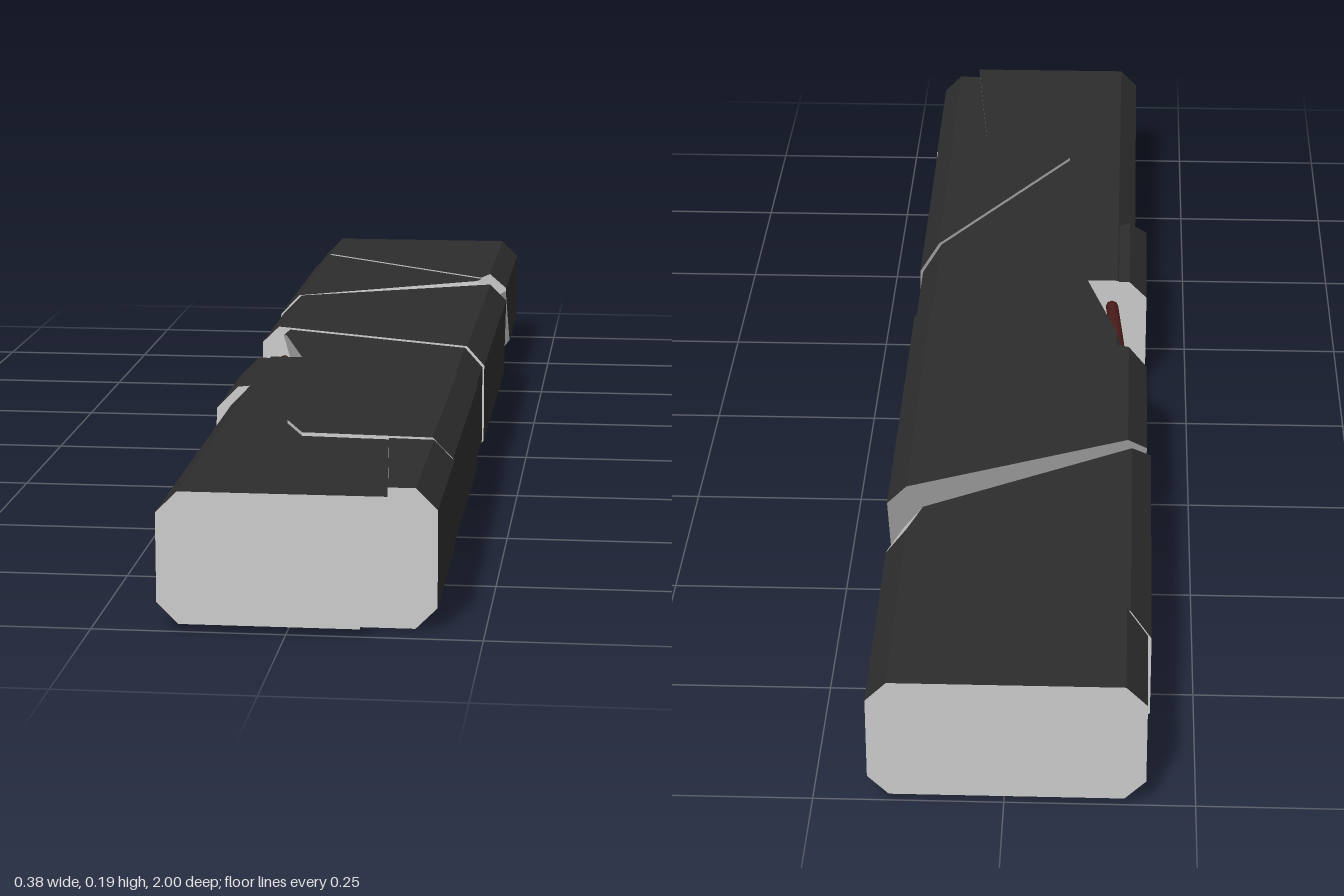
import * as THREE from 'three';

const dark = new THREE.MeshStandardMaterial({ color: 0x2d2d2d, flatShading: true });
const grey = new THREE.MeshStandardMaterial({ color: 0xcccccc, flatShading: true });
const rust = new THREE.MeshStandardMaterial({ color: 0x4a1c18 });
const TOP = 0.19;

// Octagonal beam sides running along z, as quads
function beamSides(x0, x1, y0, y1, c) {
  const ring = [
    [x0 + c, y0], [x1 - c, y0], [x1, y0 + c], [x1, y1 - c],
    [x1 - c, y1], [x0 + c, y1], [x0, y1 - c], [x0, y0 + c],
  ];
  return ring.map(([x, y], i) => {
    const [u, v] = ring[(i + 1) % 8];
    return { cut: false, pts: [[x, y, -3], [u, v, -3], [u, v, 3], [x, y, 3]].map(p => new THREE.Vector3(...p)) };
  });
}

// Cutting plane through a line (ax,az)-(bx,bz) drawn on the top face.
// Left-to-right keeps the front part; right-to-left keeps the back part.
// A positive tilt lets the kept part reach further out at the bottom.
function plane([ax, az, bx, bz, tilt = 0]) {
  const n = new THREE.Vector3(bz - az, 0, ax - bx).normalize();
  n.y = tilt;
  n.normalize();
  return new THREE.Plane().setFromNormalAndCoplanarPoint(n, new THREE.Vector3(ax, TOP, az));
}

// Clip a convex solid and close the opening with a fracture face
function clip(faces, pl) {
  const out = [], rim = [];
  for (const f of faces) {
    const pts = [];
    f.pts.forEach((p, i) => {
      const q = f.pts[(i + 1) % f.pts.length];
      const dp = pl.distanceToPoint(p), dq = pl.distanceToPoint(q);
      if (dp <= 0) pts.push(p);
      if ((dp <= 0) !== (dq <= 0)) {
        const m = p.clone().lerp(q, dp / (dp - dq));
        pts.push(m);
        rim.push(m);
      }
    });
    if (pts.length > 2) out.push({ cut: f.cut, pts });
  }
  if (rim.length > 2) {
    const c = centre(rim);
    const u = rim[0].clone().sub(c).normalize(), v = pl.normal.clone().cross(u);
    const angle = p => Math.atan2(p.clone().sub(c).dot(v), p.clone().sub(c).dot(u));
    out.push({ cut: true, pts: rim.sort((a, b) => angle(a) - angle(b)) });
  }
  return out;
}

function centre(pts) {
  return pts.reduce((s, p) => s.add(p), new THREE.Vector3()).divideScalar(pts.length);
}

// Fan-triangulate the faces, turning each one outwards
function facesMesh(faces, mid, mat, name) {
  const pos = [];
  for (const { pts } of faces) {
    const c = centre(pts), n = new THREE.Vector3();
    pts.forEach((p, i) => n.add(p.clone().sub(c).cross(pts[(i + 1) % pts.length].clone().sub(c))));
    const ps = n.dot(c.clone().sub(mid)) < 0 ? [...pts].reverse() : pts;
    for (let i = 1; i < ps.length - 1; i++) {
      for (const p of [ps[0], ps[i], ps[i + 1]]) pos.push(p.x, p.y, p.z);
    }
  }
  const g = new THREE.BufferGeometry();
  g.setAttribute('position', new THREE.Float32BufferAttribute(pos, 3));
  g.computeVertexNormals();
  const m = new THREE.Mesh(g, mat);
  m.name = name;
  return m;
}

// One beam fragment: section, z limits, cutting lines and extra planes
function fragment(name, [x0, x1, y0, y1], [z0, z1], cuts = [], extra = []) {
  let faces = beamSides(x0, x1, y0, y1, 0.028);
  const planes = [plane([-1, z0, 1, z0]), plane([1, z1, -1, z1]), ...cuts.map(plane), ...extra];
  for (const pl of planes) faces = clip(faces, pl);
  const mid = centre(faces.flatMap(f => f.pts));
  const g = new THREE.Group();
  g.name = name;
  g.add(facesMesh(faces.filter(f => !f.cut), mid, dark, name + 'Surface'));
  g.add(facesMesh(faces.filter(f => f.cut), mid, grey, name + 'Fracture'));
  return g;
}

function rebar(name, pts) {
  const curve = new THREE.CatmullRomCurve3(pts.map(p => new THREE.Vector3(...p)));
  const m = new THREE.Mesh(new THREE.TubeGeometry(curve, 12, 0.01, 8), rust);
  m.name = name;
  return m;
}

export function createModel() {
  const model = new THREE.Group();
  model.name = 'brokenBeam';

  // Spalled right side of the rear: sloped ledge above, undercut below
  const ledge = new THREE.Plane().setFromNormalAndCoplanarPoint(
    new THREE.Vector3(0.75, 0.6, 0.24).normalize(), new THREE.Vector3(0.15, 0.175, -0.6));
  const undercut = new THREE.Plane().setFromNormalAndCoplanarPoint(
    new THREE.Vector3(0.92, -0.3, 0.26).normalize(), new THREE.Vector3(0.175, 0.11, -0.68));

  model.add(
    // Rear end and the wedge ahead of it, split by a diagonal crack
    fragment('rearEnd', [-0.185, 0.178, 0.012, 0.187], [-1, 0],
      [[0.15, -0.58, -0.16, -0.82]], [ledge, undercut]),
    fragment('rearWedge', [-0.19, 0.178, 0.008, 0.185], [-1, 0],
      [[-0.16, -0.82, 0.15, -0.58], [0.185, -0.6, -0.18, -0.385, 0.35]], [ledge, undercut]),
    // Middle block between the two main breaks
    fragment('middleBlock', [-0.184, 0.186, 0.012, 0.188], [-1, 0.3],
      [[-0.18, -0.365, 0.185, -0.53, -0.4], [0.18, 0.05, -0.18, -0.1]]),
    // Neck beside the left gap
    fragment('neck', [-0.165, 0.183, 0.012, 0.185], [-0.3, 0.14],
      [[-0.18, -0.1, 0.18, 0.05], [-0.09, 0.14, -0.15, -0.08, -0.25]]),
    // Front body with a bulging left shell
    fragment('frontBody', [-0.165, 0.183, 0.012, 0.185], [0.14, 0.68]),
    fragment('leftShell', [-0.184, 0.1, 0.002, 0.183], [0.14, 0.6],
      [[0.1, 0.22, -0.184, 0.37, 0.2], [0.03, 0.14, -0.12, 0.6, -0.2]]),
    // Lifted wedge on the front top
    fragment('frontWedge', [-0.15, 0.187, 0.006, 0.19], [0.2, 0.69],
      [[-0.02, 0.675, -0.05, 0.6], [-0.05, 0.6, 0.18, 0.22], [0.18, 0.69, -0.02, 0.675]]),
    // Front end, with its right corner broken off and set back
    fragment('frontEnd', [-0.165, 0.183, 0.012, 0.185], [0.68, 1],
      [[0.1, 0.68, 0.13, 1, -0.2]]),
    fragment('frontCorner', [-0.1, 0.189, 0.003, 0.187], [0.68, 0.96],
      [[0.13, 1, 0.1, 0.68, 0.2]]),
  );

  // Exposed steel bars in the left gap and the right notch
  model.add(
    rebar('upperLeftBar', [[-0.15, 0.13, -0.14], [-0.14, 0.135, 0], [-0.125, 0.14, 0.18]]),
    rebar('lowerLeftBar', [[-0.13, 0.05, -0.14], [-0.145, 0.045, 0.02], [-0.11, 0.06, 0.18]]),
    rebar('outerNotchBar', [[0.13, 0.06, -0.4], [0.12, 0.06, -0.5], [0.09, 0.055, -0.66]]),
    rebar('innerNotchBar', [[0.02, 0.06, -0.36], [0.02, 0.055, -0.45], [0.01, 0.06, -0.6]]),
  );

  // Settle the lowest fragment on the ground
  model.position.y = -new THREE.Box3().setFromObject(model).min.y;
  return model;
}
